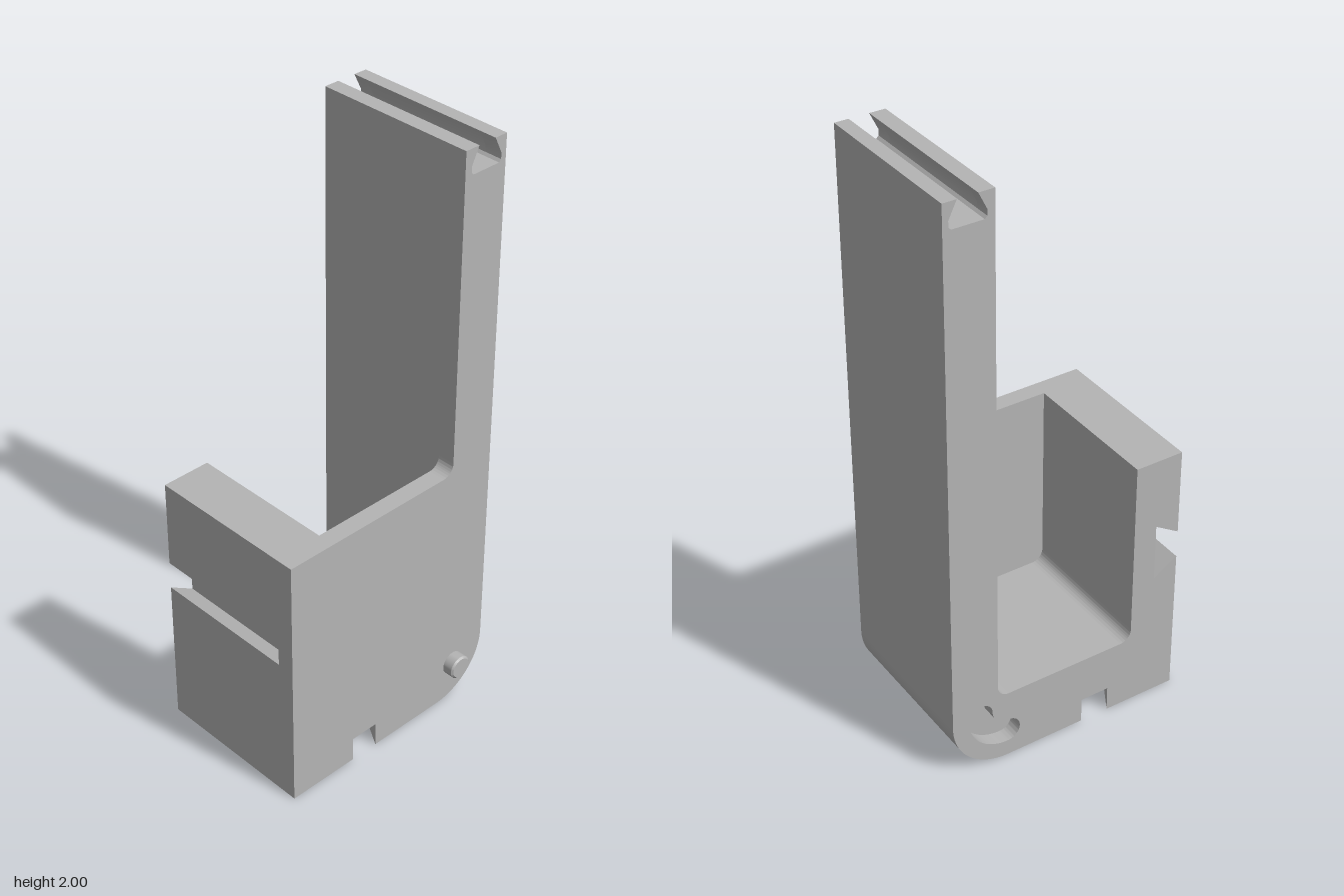
import * as THREE from 'three';
import { toCreasedNormals } from 'three/addons/utils/BufferGeometryUtils.js';

const BACK = -0.3, FRONT = 0.26, CAVITY_END = 0.2;
const NOTCH = 0.087; // height of the bottom sockets

// Side profile; the hollow version has the open cavity and the side dovetail slot
function profile(hollow) {
  const s = new THREE.Shape();
  const path = (pts) => pts.forEach(([x, y]) => s.lineTo(x, y));
  s.moveTo(-0.417, 0);
  path([[-0.22, 0], [-0.22, NOTCH], [-0.01, NOTCH], [-0.01, 0], [0.213, 0]]);
  s.absarc(0.213, 0.2, 0.2, -Math.PI / 2, 0, false); // rounded heel
  // column with dovetail groove in its top
  path([[0.413, 2], [0.367, 2], [0.394, 1.945], [0.394, 1.925], [0.386, 1.917],
    [0.283, 1.917], [0.275, 1.925], [0.275, 1.945], [0.302, 2], [0.25, 2]]);
  const r = 0.04, floor = hollow ? 0.25 : 0.91;
  s.lineTo(0.25, floor + r);
  s.absarc(0.25 - r, floor + r, r, 0, -Math.PI / 2, true);
  if (hollow) {
    s.lineTo(-0.25 + r, floor);
    s.absarc(-0.25 + r, floor + r, r, -Math.PI / 2, -Math.PI, true);
    s.lineTo(-0.25, 0.91);
  }
  s.lineTo(-0.417, 0.91);
  if (hollow) path([[-0.417, 0.61], [-0.332, 0.663], [-0.332, 0.46], [-0.417, 0.513]]);
  s.closePath();
  return s;
}

// Curved slot concentric with the heel
function arcSlot() {
  const h = new THREE.Path(), cx = 0.213, cy = 0.2, R = 0.1, w = 0.043;
  h.absarc(cx, cy, R + w, -Math.PI / 2, 0, false);
  h.absarc(cx + R, cy, w, 0, Math.PI, false);
  h.absarc(cx, cy, R - w, 0, -Math.PI / 2, true);
  h.absarc(cx, cy - R, w, Math.PI / 2, Math.PI * 1.5, false);
  return h;
}

function extrude(shape, depth) {
  const g = new THREE.ExtrudeGeometry(shape, { depth, bevelEnabled: false, curveSegments: 16 });
  return toCreasedNormals(g, 0.5);
}

export function createModel() {
  const group = new THREE.Group();
  const grey = new THREE.MeshStandardMaterial({ color: 0xb4b4b4 });
  grey.name = 'grey';
  const add = (name, geometry) => {
    const mesh = new THREE.Mesh(geometry, grey);
    mesh.name = name;
    group.add(mesh);
    return mesh;
  };
  const layer = (name, shape, z0, z1) => {
    add(name, extrude(shape, z1 - z0)).position.z = z0;
  };

  // Body in layers from back to front
  const slotFloor = BACK + 0.05;
  const backShape = profile(true);
  backShape.holes.push(arcSlot());
  layer('backLayer', backShape, BACK, slotFloor);
  layer('hollowBody', profile(true), slotFloor, CAVITY_END);
  layer('frontWall', profile(false), CAVITY_END, FRONT);

  // Base strip with a dovetail socket at each end (plan outline, y = -z)
  const plan = new THREE.Shape([
    [-0.22, -0.26], [-0.165, -0.26], [-0.215, -0.175], [-0.015, -0.175], [-0.065, -0.26], [-0.01, -0.26],
    [-0.01, 0.3], [-0.065, 0.3], [-0.015, 0.215], [-0.215, 0.215], [-0.165, 0.3], [-0.22, 0.3],
  ].map(([x, y]) => new THREE.Vector2(x, y)));
  add('socketStrip', extrude(plan, NOTCH).rotateX(-Math.PI / 2));

  // Chamfered locating pin on the front
  const pinProfile = [[0.041, 0], [0.041, 0.034], [0.035, 0.04], [0, 0.04]]
    .map(([x, y]) => new THREE.Vector2(x, y));
  const pin = add('pin', toCreasedNormals(new THREE.LatheGeometry(pinProfile, 32).rotateX(Math.PI / 2), 0.5));
  pin.position.set(0.283, 0.137, FRONT);

  return group;
}
